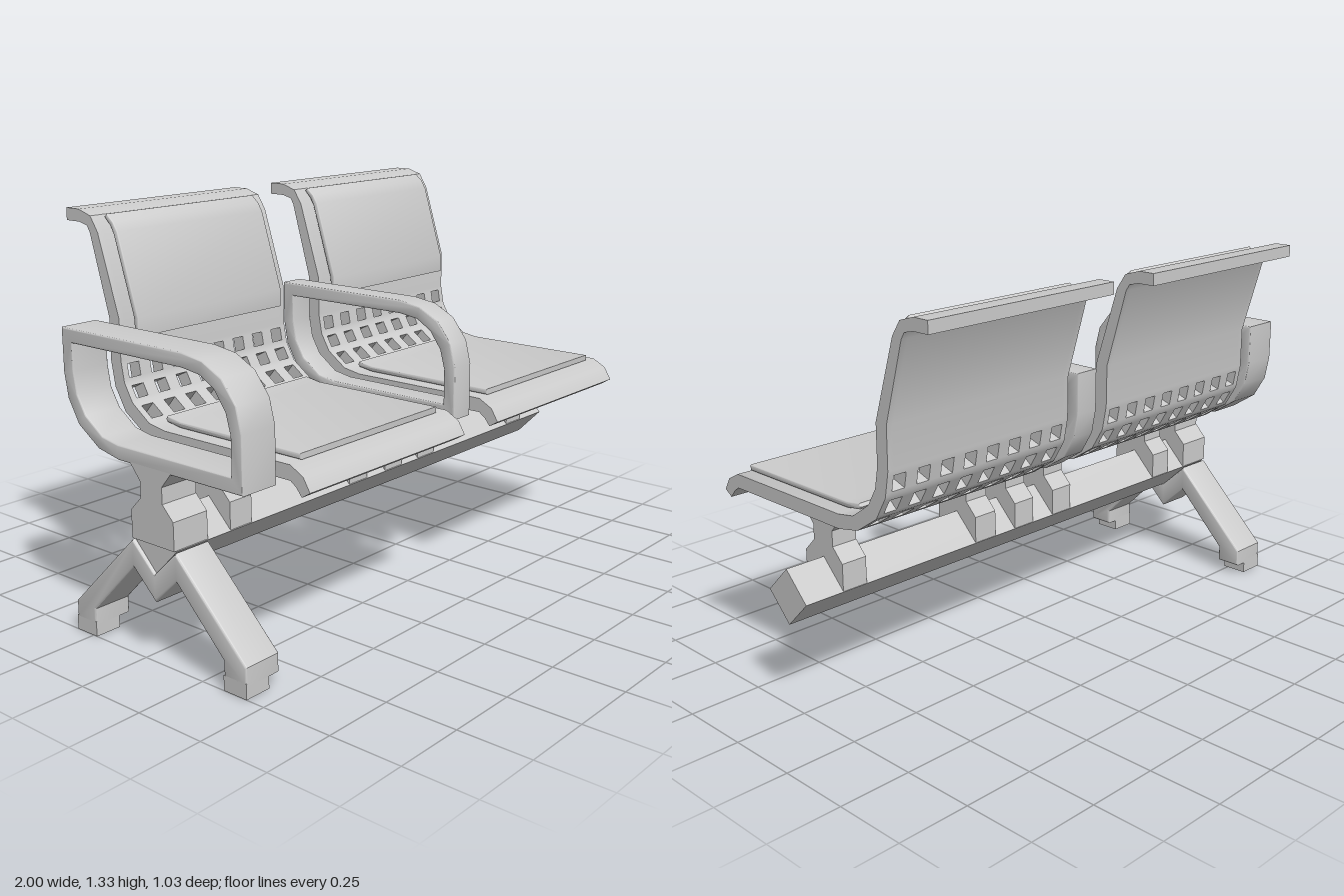
import * as THREE from 'three';
import { toCreasedNormals } from 'three/addons/utils/BufferGeometryUtils.js';

const grey = new THREE.MeshStandardMaterial({ color: 0xcccccc });

function addMesh(parent, geometry, name) {
  const mesh = new THREE.Mesh(geometry, grey);
  mesh.name = name;
  parent.add(mesh);
  return mesh;
}

// Extrude a [z, y] outline along x from x0 to x1
function extrudeX(outline, x0, x1, bevel = 0, hole = null) {
  const toPoints = (list) => list.map(([z, y]) => new THREE.Vector2(z, y));
  const shape = new THREE.Shape(toPoints(outline));
  if (hole) shape.holes.push(new THREE.Path(toPoints(hole)));
  const geo = new THREE.ExtrudeGeometry(shape, {
    depth: x1 - x0 - 2 * bevel, bevelEnabled: bevel > 0, bevelSize: bevel,
    bevelThickness: bevel, bevelOffset: -bevel, bevelSegments: 3,
  });
  geo.rotateY(-Math.PI / 2);
  geo.translate(x1 - bevel, 0, 0);
  return toCreasedNormals(geo, 0.6);
}

// Bent sheet with real holes: stations hold lower and upper [z, y] points
function perforatedSheet(stations, xs, isHole) {
  const pos = [];
  const rows = stations.length - 1, cols = xs.length - 1;
  const solid = (i, j) => i >= 0 && j >= 0 && i < rows && j < cols && !isHole(i, j);
  const lo = (i, j) => [xs[j], stations[i].lo[1], stations[i].lo[0]];
  const up = (i, j) => [xs[j], stations[i].up[1], stations[i].up[0]];
  const quad = (a, b, c, d) => pos.push(...a, ...b, ...c, ...a, ...c, ...d);
  for (let i = 0; i < rows; i++) {
    for (let j = 0; j < cols; j++) {
      if (!solid(i, j)) continue;
      const k = i + 1, m = j + 1;
      quad(up(i, j), up(i, m), up(k, m), up(k, j));
      quad(lo(i, m), lo(i, j), lo(k, j), lo(k, m));
      if (!solid(i - 1, j)) quad(lo(i, j), lo(i, m), up(i, m), up(i, j));
      if (!solid(i + 1, j)) quad(lo(k, m), lo(k, j), up(k, j), up(k, m));
      if (!solid(i, j - 1)) quad(lo(k, j), lo(i, j), up(i, j), up(k, j));
      if (!solid(i, j + 1)) quad(lo(i, m), lo(k, m), up(k, m), up(i, m));
    }
  }
  const geo = new THREE.BufferGeometry();
  geo.setAttribute('position', new THREE.Float32BufferAttribute(pos, 3));
  return toCreasedNormals(geo, 0.6);
}

// Curve from seat to backrest, shared by shell and armrests
const bendLower = [[-0.09, 0.622], [-0.18, 0.64], [-0.27, 0.70], [-0.315, 0.777], [-0.33, 0.86]];
const bendUpper = [[-0.09, 0.67], [-0.16, 0.682], [-0.235, 0.735], [-0.27, 0.795], [-0.283, 0.866]];

function seatShell() {
  const lower = [[0.484, 0.58], [0.462, 0.607], [0.44, 0.622], ...bendLower,
    [-0.33, 1.0], [-0.405, 1.262], [-0.418, 1.283], [-0.456, 1.292], [-0.516, 1.292]];
  const upper = [[0.516, 0.60], [0.49, 0.643], [0.44, 0.67], ...bendUpper,
    [-0.283, 1.0], [-0.367, 1.265], [-0.40, 1.315], [-0.456, 1.332], [-0.516, 1.332]];
  const mix = (a, b, t) => [a[0] + (b[0] - a[0]) * t, a[1] + (b[1] - a[1]) * t];
  const stations = [], holeRows = new Set();
  lower.forEach((p, i) => {
    stations.push({ lo: p, up: upper[i] });
    if (i < 4 || i > 6) return;
    holeRows.add(stations.length);
    for (const t of [0.18, 0.8]) {
      stations.push({ lo: mix(p, lower[i + 1], t), up: mix(upper[i], upper[i + 1], t) });
    }
  });
  // Eight columns of holes
  const xs = [-0.38];
  for (let c = 0; c < 8; c++) {
    const x = (c - 3.5) * 0.095;
    xs.push(x - 0.024, x + 0.024);
  }
  xs.push(0.38);
  return perforatedSheet(stations, xs, (i, j) => holeRows.has(i) && j % 2 === 1);
}

const seatPad = [[0.437, 0.672], [0.437, 0.692], [-0.07, 0.692], [-0.13, 0.701],
  [-0.137, 0.69], [-0.13, 0.681], [-0.07, 0.672]];
const backPad = [[-0.25, 0.938], [-0.25, 1.0], [-0.333, 1.265], [-0.352, 1.295], [-0.38, 1.318],
  [-0.391, 1.308], [-0.367, 1.284], [-0.351, 1.259], [-0.27, 1.0], [-0.266, 0.938]];

const bracket = [[0.145, 0.385], [0.145, 0.477], [0.1, 0.523], [0.1, 0.576], [0.145, 0.63],
  [-0.04, 0.63], [0.005, 0.576], [0.005, 0.523], [-0.04, 0.477], [-0.04, 0.385]];

const armOuter = [[0.435, 0.622], [0.435, 0.80], [0.415, 0.88], [0.36, 0.95], [0.285, 0.988],
  [0.2, 1.0], [-0.33, 1.0], ...[...bendLower].reverse()];
const armInner = [[0.39, 0.67], [0.39, 0.79], [0.372, 0.855], [0.33, 0.912], [0.275, 0.945],
  [0.2, 0.955], [-0.283, 0.955], ...[...bendUpper].reverse()];

const legOutline = [[0.433, 0.04], [0.433, 0.1], [0.148, 0.38], [0.053, 0.29], [-0.042, 0.38],
  [-0.327, 0.1], [-0.327, 0.04], [-0.234, 0.04], [-0.234, 0.095], [-0.042, 0.287],
  [0.053, 0.198], [0.148, 0.287], [0.34, 0.095], [0.34, 0.04]];

const beamOutline = [[0.147, 0.384], [0.053, 0.478], [-0.041, 0.384], [0.053, 0.29]];

export function createModel() {
  const model = new THREE.Group();
  model.name = 'twoSeatBench';

  addMesh(model, extrudeX(beamOutline, -0.99, 1.0), 'beam');

  // Seats with cushions and their supports
  const shell = seatShell();
  for (const x of [-0.43, 0.52]) {
    const seat = new THREE.Group();
    seat.name = 'seat';
    seat.position.x = x;
    addMesh(seat, shell, 'seatShell');
    addMesh(seat, extrudeX(seatPad, -0.332, 0.332, 0.006), 'seatPad');
    addMesh(seat, extrudeX(backPad, -0.332, 0.332, 0.005), 'backPad');
    model.add(seat);
  }
  for (const x of [-0.718, -0.148, 0.235, 0.808]) {
    addMesh(model, extrudeX(bracket, x - 0.047, x + 0.047), 'seatBracket');
  }

  // Armrests: wide one at the end, narrow one between the seats
  for (const [x0, x1] of [[-1, -0.862], [0, 0.092]]) {
    addMesh(model, extrudeX(armOuter, x0, x1, 0.005, armInner), 'armrest');
    addMesh(model, extrudeX(bracket, x0, x1), 'armrestBracket');
  }

  // End leg and its feet
  addMesh(model, extrudeX(legOutline, -1, -0.86, 0.008), 'leg');
  for (const z of [0.3865, -0.2805]) {
    const foot = addMesh(model, new THREE.BoxGeometry(0.095, 0.05, 0.093), 'foot');
    foot.position.set(-0.9525, 0.025, z);
  }
  return model;
}
